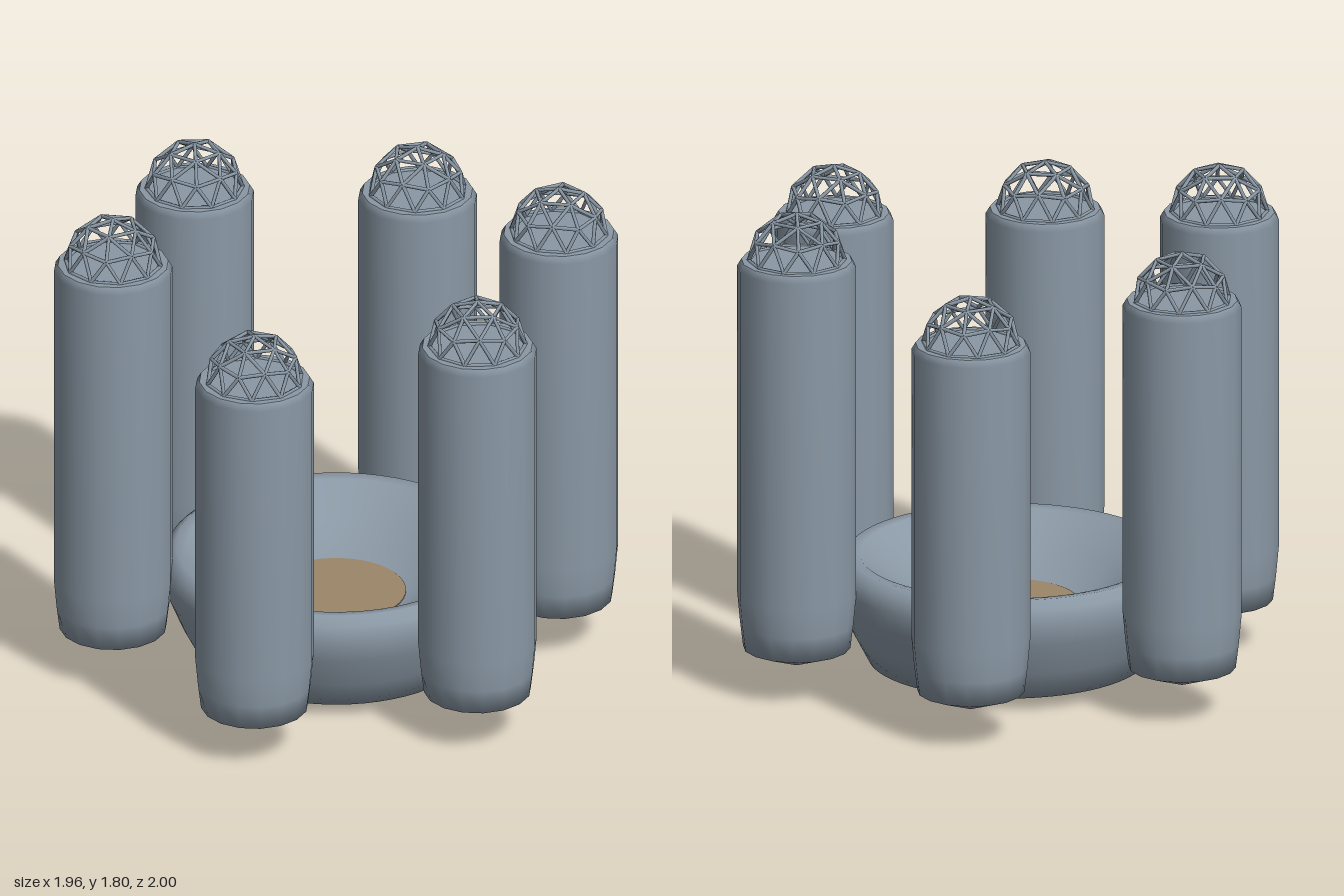
import * as THREE from 'three';
import { mergeGeometries } from 'three/addons/utils/BufferGeometryUtils.js';

const DOME_R = 0.172;
const UP = new THREE.Vector3(0, 1, 0);

function lathe(points, segments) {
  return new THREE.LatheGeometry(points.map(([r, y]) => new THREE.Vector2(r, y)), segments);
}

// Geodesic half-dome: one thin strut per edge of a subdivided icosahedron standing on a vertex
function domeGeometry() {
  const ico = new THREE.IcosahedronGeometry(DOME_R, 1);
  const corner = new THREE.Vector3(-1, (1 + Math.sqrt(5)) / 2, 0).normalize();
  ico.applyQuaternion(new THREE.Quaternion().setFromUnitVectors(corner, UP));
  const pos = ico.attributes.position;
  const seen = new Set();
  const struts = [];
  for (let f = 0; f < pos.count; f += 3) {
    for (let k = 0; k < 3; k++) {
      const a = new THREE.Vector3().fromBufferAttribute(pos, f + k);
      const b = new THREE.Vector3().fromBufferAttribute(pos, f + (k + 1) % 3);
      if (a.y < -0.01 || b.y < -0.01) continue;
      const mid = a.clone().add(b).multiplyScalar(0.5);
      const key = mid.toArray().map((v) => Math.round(v * 1000)).join();
      if (seen.has(key)) continue;
      seen.add(key);
      const dir = b.clone().sub(a);
      const strut = new THREE.CylinderGeometry(0.007, 0.007, dir.length(), 6);
      strut.applyQuaternion(new THREE.Quaternion().setFromUnitVectors(UP, dir.normalize()));
      strut.translate(mid.x, mid.y, mid.z);
      struts.push(strut);
    }
  }
  return mergeGeometries(struts);
}

export function createModel() {
  const model = new THREE.Group();
  const steel = new THREE.MeshStandardMaterial({ color: 0x8a98a5 });
  steel.name = 'blue grey steel';
  const earth = new THREE.MeshStandardMaterial({ color: 0x9c8668 });
  earth.name = 'earth brown';

  const add = (parent, name, geometry, material, y = 0) => {
    const mesh = new THREE.Mesh(geometry, material);
    mesh.name = name;
    mesh.position.y = y;
    parent.add(mesh);
    return mesh;
  };

  // Central dish: shallow cone underside, rounded rim and sloping bowl
  add(model, 'dish', lathe([
    [0, 0.005], [0.5, 0.055], [0.555, 0.16], [0.605, 0.28], [0.62, 0.36],
    [0.605, 0.415], [0.57, 0.445], [0.53, 0.44], [0.4, 0.345], [0.25, 0.26], [0, 0.25],
  ], 64), steel);
  add(model, 'dishFloor', new THREE.CylinderGeometry(0.25, 0.25, 0.008, 48), earth, 0.26);

  // Ring of six towers; opposite towers share a height
  const dome = domeGeometry();
  const rims = [1.63, 1.555, 1.48];
  for (let i = 0; i < 6; i++) {
    const angle = THREE.MathUtils.degToRad(42.6 + i * 60);
    const rim = rims[i % 3];
    const tower = new THREE.Group();
    tower.name = 'tower' + (i + 1);
    tower.position.set(0.805 * Math.cos(angle), 0, 0.805 * Math.sin(angle));
    add(tower, 'towerBody', lathe([
      [0, 0.11], [0.192, 0.18], [0.203, 0.27], [0.213, 0.38],
      [0.213, rim - 0.025], [0.198, rim],
    ], 16), steel);
    const cap = add(tower, 'towerCap', new THREE.CircleGeometry(0.198, 16), steel, rim);
    cap.rotation.x = -Math.PI / 2;
    add(tower, 'towerDome', dome, steel, rim).rotation.y = -angle;
    model.add(tower);
  }
  return model;
}
